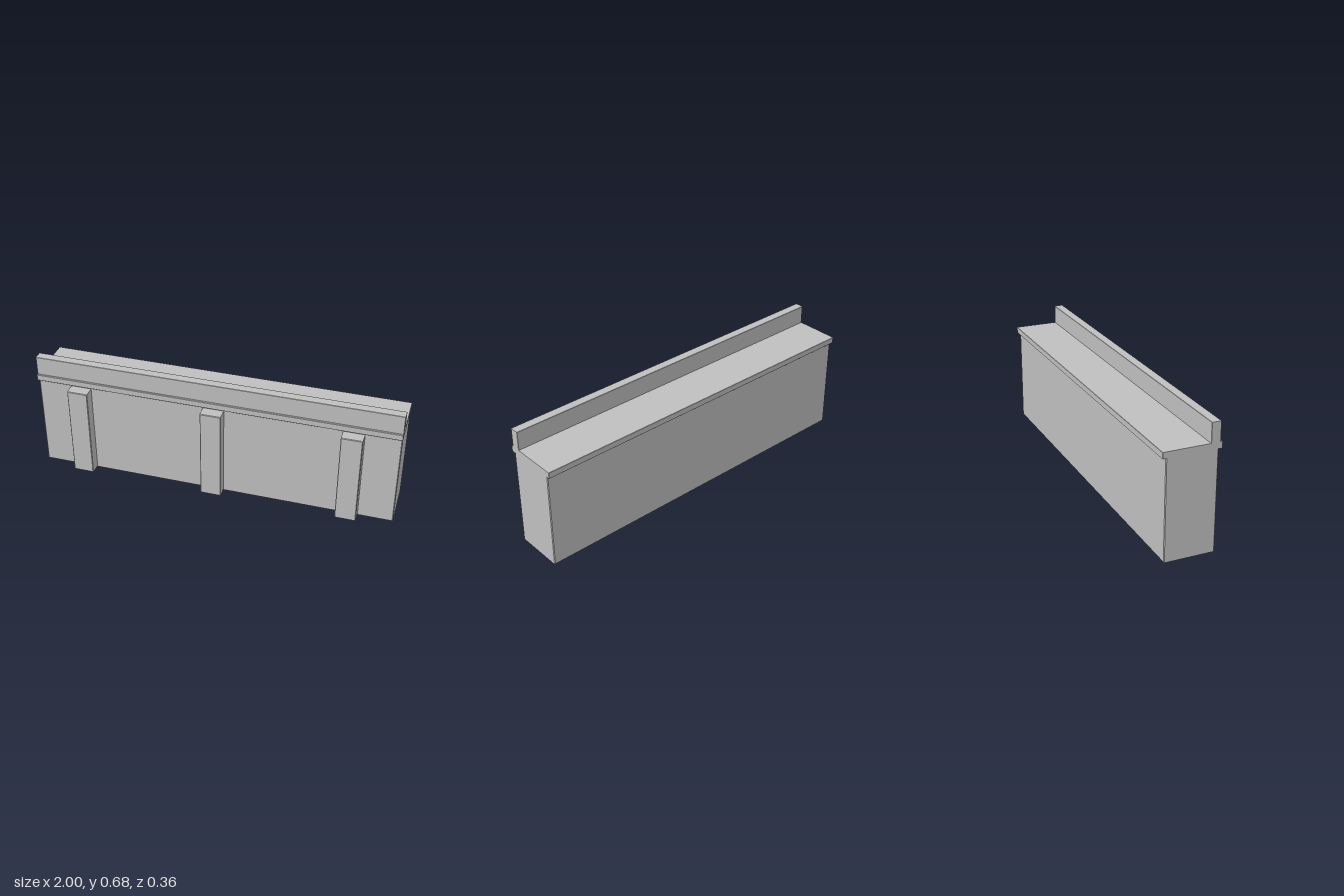
import * as THREE from 'three';

const stone = new THREE.MeshStandardMaterial({ color: 0xbfbfbf });
stone.name = 'grey stone';

// Box between two corners, with every edge chamfered by b
function chamferedBox(name, [x0, y0, z0], [x1, y1, z1], b) {
  const hw = (x1 - x0) / 2 - b;
  const hh = (y1 - y0) / 2 - b;
  const depth = z1 - z0 - 2 * b;
  const shape = new THREE.Shape([
    new THREE.Vector2(-hw, -hh),
    new THREE.Vector2(hw, -hh),
    new THREE.Vector2(hw, hh),
    new THREE.Vector2(-hw, hh),
  ]);
  const geometry = new THREE.ExtrudeGeometry(shape, {
    depth,
    bevelEnabled: true,
    bevelSize: b,
    bevelThickness: b,
    bevelSegments: 1,
  });
  geometry.translate((x0 + x1) / 2, (y0 + y1) / 2, z0 + b);
  const mesh = new THREE.Mesh(geometry, stone);
  mesh.name = name;
  return mesh;
}

export function createModel() {
  const group = new THREE.Group();
  group.name = 'parapetWall';

  // Main wall, capped by an overhanging walkway slab and a front parapet
  group.add(chamferedBox('wall', [-0.998, 0, -0.158], [0.998, 0.55, 0.114], 0.004));
  group.add(chamferedBox('walkwaySlab', [-1, 0.544, -0.177], [1, 0.578, 0.133], 0.0015));
  group.add(chamferedBox('parapet', [-1, 0.57, 0.072], [1, 0.683, 0.122], 0.0015));

  // Three buttresses along the front
  for (const x of [-0.75, 0, 0.75]) {
    group.add(chamferedBox('buttress', [x - 0.057, 0.008, 0.105], [x + 0.057, 0.531, 0.178], 0.003));
  }
  return group;
}
